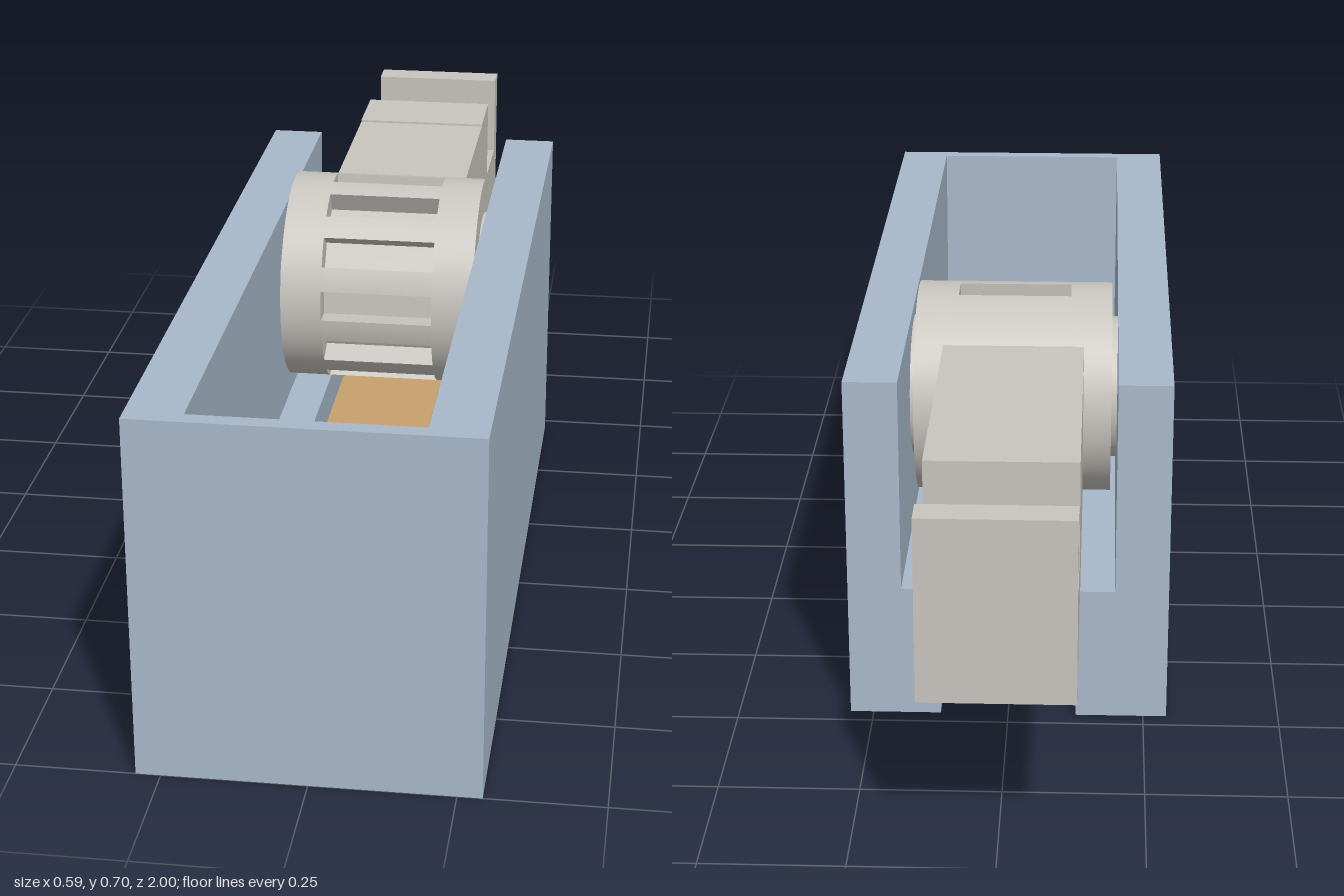
import * as THREE from 'three';
import { toCreasedNormals } from 'three/addons/utils/BufferGeometryUtils.js';

const mat = (name, color) => {
  const m = new THREE.MeshStandardMaterial({ color });
  m.name = name;
  return m;
};

const shapeOf = (pts) => new THREE.Shape(pts.map(([a, b]) => new THREE.Vector2(a, b)));

// Outline in (x, z), raised from y0 to y1
function planPart(pts, y0, y1) {
  const g = new THREE.ExtrudeGeometry(shapeOf(pts), { depth: y1 - y0, bevelEnabled: false });
  return g.rotateX(Math.PI / 2).translate(0, y1, 0);
}

// Outline in (z, y), swept from x0 to x1
function sidePart(pts, x0, x1) {
  const shape = shapeOf(pts.map(([z, y]) => [-z, y]));
  const g = new THREE.ExtrudeGeometry(shape, { depth: x1 - x0, bevelEnabled: false });
  return g.rotateY(Math.PI / 2).translate(x0, 0, 0);
}

// U-shaped outline, open at the back
const uOutline = (inner, innerFront) => [
  [-0.293, -0.467], [-inner, -0.467], [-inner, innerFront], [inner, innerFront],
  [inner, -0.467], [0.293, -0.467], [0.293, 1], [-0.293, 1],
];

export function createModel() {
  const blue = mat('housing blue', 0xa9b9cb);
  const grey = mat('warm grey', 0xc9c5bf);
  const tan = mat('spring tan', 0xc8a06c);
  const model = new THREE.Group();
  model.name = 'ratchetLever';
  const add = (name, geometry, material, parent = model) => {
    const mesh = new THREE.Mesh(geometry, material);
    mesh.name = name;
    parent.add(mesh);
    return mesh;
  };

  // Housing: slotted thick floor and three walls
  const housing = new THREE.Group();
  housing.name = 'housing';
  model.add(housing);
  add('floor', planPart(uOutline(0.125, 0.36), 0, 0.254), blue, housing);
  add('walls', planPart(uOutline(0.195, 0.97), 0.254, 0.657), blue, housing);

  // Flat spring tongue lying in the floor slot
  const tongue = new THREE.BoxGeometry(0.2, 0.038, 0.827);
  add('springTongue', tongue.translate(0, 0.235, -0.0535), tan);

  // Drum: two solid ends and a pocketed middle
  const R = 0.2, depth = 0.045, cz = -0.0625, cy = 0.498;
  const pockets = [-3, 27, 57, 87, 117, 147, 177];
  const halfWidth = 0.029;
  const at = (r, deg, side = 0) => {
    const a = THREE.MathUtils.degToRad(deg);
    return [cz + r * Math.sin(a) + side * Math.cos(a), cy + r * Math.cos(a) - side * Math.sin(a)];
  };
  const round = [], notched = [];
  for (let d = 0; d < 360; d += 3) round.push(at(R, d));
  const rim = Math.sqrt(R * R - halfWidth * halfWidth);
  for (let d = -12; d < 348; d += 3) {
    if (pockets.includes(d)) {
      notched.push(at(rim, d, -halfWidth), at(R - depth, d, -halfWidth));
      notched.push(at(R - depth, d, halfWidth), at(rim, d, halfWidth));
    } else if (!pockets.some((p) => Math.abs(p - d) < 9)) {
      notched.push(at(R, d));
    }
  }
  const drum = new THREE.Group();
  drum.name = 'drum';
  model.add(drum);
  add('pocketedRim', toCreasedNormals(sidePart(notched, -0.106, 0.106), 0.5), grey, drum);
  for (const s of [-1, 1]) {
    const [x0, x1] = s < 0 ? [-0.184, -0.106] : [0.106, 0.184];
    add('drumEnd', toCreasedNormals(sidePart(round, x0, x1), 0.5), grey, drum);
    const hub = new THREE.CylinderGeometry(0.135, 0.135, 0.014, 48).rotateZ(Math.PI / 2);
    add('hub', hub.translate(s * 0.188, cy, cz), grey, drum);
  }

  // Lever arm with a notch near its tip
  const lever = [
    [-0.115, 0.305], [-0.115, 0.633], [-0.62, 0.633], [-0.62, 0.637], [-0.768, 0.637],
    [-0.768, 0.472], [-0.943, 0.472], [-0.943, 0.637], [-1, 0.637], [-1, 0.311],
    [-0.575, 0.311], [-0.575, 0.305],
  ];
  add('lever', sidePart(lever, -0.132, 0.13), grey);

  return model;
}
